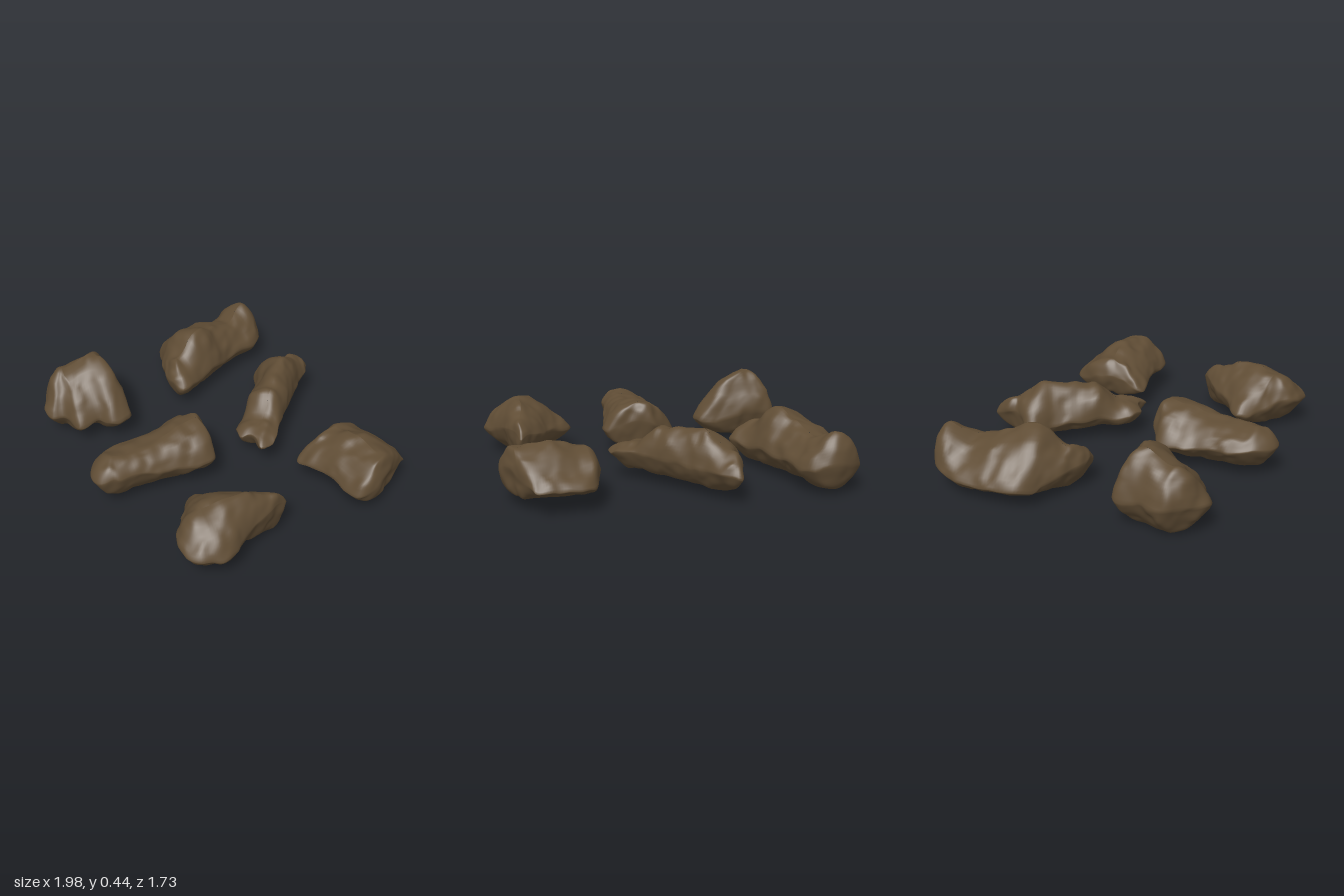
import * as THREE from 'three';
import { mergeVertices } from 'three/addons/utils/BufferGeometryUtils.js';

// Smooth lattice noise, -1 to 1
function hash(x, y, z) {
  const s = Math.sin(x * 127.1 + y * 311.7 + z * 74.7) * 43758.5453;
  return (s - Math.floor(s)) * 2 - 1;
}
function noise(x, y, z) {
  const cell = [x, y, z].map(Math.floor);
  const f = [x - cell[0], y - cell[1], z - cell[2]].map((t) => t * t * (3 - 2 * t));
  let sum = 0;
  for (let k = 0; k < 8; k++) {
    const d = [k & 1, (k >> 1) & 1, k >> 2];
    const w = d.reduce((p, on, j) => p * (on ? f[j] : 1 - f[j]), 1);
    sum += w * hash(cell[0] + d[0], cell[1] + d[1], cell[2] + d[2]);
  }
  return sum;
}

// Crest point closest in plan to p; the crest is straight in plan from a to b,
// with its heights spread along it
function nearestOnCrest(a, b, heights, p) {
  const dx = b[0] - a[0], dz = b[1] - a[1];
  const t = THREE.MathUtils.clamp(((p.x - a[0]) * dx + (p.z - a[1]) * dz) / (dx * dx + dz * dz), 0, 1);
  const s = t * (heights.length - 1);
  const k = Math.min(Math.floor(s), heights.length - 2);
  const y = THREE.MathUtils.lerp(heights[k], heights[k + 1], THREE.MathUtils.smoothstep(s - k, 0, 1));
  return new THREE.Vector3(a[0] + dx * t, y, a[1] + dz * t);
}

// Loft from the underside (base) out to the plan outline and up to the crest
function rockGeometry({ outline, from, to, heights, edge, base, round }) {
  const COLS = 120, HALF = 14;
  const curve = new THREE.CatmullRomCurve3(outline.map(([x, z]) => new THREE.Vector3(x, 0, z)), true);
  const rim = curve.getSpacedPoints(COLS).slice(0, COLS);
  const tops = rim.map((p) => nearestOnCrest(from, to, heights, p));
  // The rim rises where the crest comes close to it
  rim.forEach((p, i) => {
    const d = Math.hypot(p.x - tops[i].x, p.z - tops[i].z);
    p.y = edge + 0.1 * Math.max(0, 1 - d / 0.25);
  });
  const pos = [], index = [];
  for (let r = 0; r <= 2 * HALF; r++) {
    const upper = r >= HALF;
    const t = Math.pow(Math.abs(r - HALF) / HALF, 1.4);
    const rise = Math.pow(1 - Math.pow(1 - t, upper ? round : 2.2), 0.85);
    for (let i = 0; i < COLS; i++) {
      const p = rim[i], q = tops[i];
      const x = THREE.MathUtils.lerp(p.x, q.x, t);
      const z = THREE.MathUtils.lerp(p.z, q.z, t);
      const y = THREE.MathUtils.lerp(p.y, upper ? q.y : base, rise);
      // Weathered dents
      const bump = (o) => 0.018 * noise(x * 8 + o, y * 8, z * 8) + 0.009 * noise(x * 19, y * 19 + o, z * 19);
      pos.push(x + bump(3) * 0.7, y + bump(17), z + bump(41) * 0.7);
    }
  }
  for (let r = 0; r < 2 * HALF; r++) {
    for (let i = 0; i < COLS; i++) {
      const j = (i + 1) % COLS;
      const a = r * COLS + i, b = r * COLS + j, c = a + COLS, d = b + COLS;
      index.push(a, c, b, b, c, d);
    }
  }
  const geo = new THREE.BufferGeometry();
  geo.setAttribute('position', new THREE.Float32BufferAttribute(pos, 3));
  geo.setIndex(index);
  const merged = mergeVertices(geo, 1e-4);
  merged.computeVertexNormals();
  return merged;
}

export function createModel() {
  const group = new THREE.Group();
  group.name = 'rocks';
  const stone = new THREE.MeshStandardMaterial({ color: 0x604d35 });
  stone.name = 'brownStone';

  // Plan points are [x, z]
  const addRock = (name, shape) => {
    const mesh = new THREE.Mesh(rockGeometry(shape), stone);
    mesh.name = name;
    group.add(mesh);
  };

  // Back row
  addRock('backRightRock', {
    edge: 0.1, base: 0.02, round: 1.8,
    outline: [[-0.8, -0.86], [-0.68, -0.85], [-0.59, -0.77], [-0.57, -0.63], [-0.5, -0.3], [-0.45, -0.06],
      [-0.54, -0.04], [-0.75, -0.13], [-0.95, -0.25], [-0.99, -0.4], [-0.97, -0.65], [-0.91, -0.81]],
    from: [-0.76, -0.79], to: [-0.6, -0.14], heights: [0.34, 0.29, 0.33, 0.37, 0.27],
  });
  addRock('backMiddleRock', {
    edge: 0.11, base: 0.05, round: 2.1,
    outline: [[-0.2, -0.85], [-0.12, -0.79], [-0.05, -0.67], [0.1, -0.47], [0.23, -0.29], [0.31, -0.18],
      [0.31, -0.09], [0.21, -0.1], [0.15, -0.05], [0.08, -0.08], [-0.05, -0.25], [-0.22, -0.46],
      [-0.33, -0.54], [-0.24, -0.68], [-0.24, -0.77]],
    from: [-0.19, -0.7], to: [0.17, -0.2], heights: [0.28, 0.36, 0.35, 0.33, 0.21],
  });
  addRock('backLeftRock', {
    edge: 0.12, base: 0.06, round: 1.8,
    outline: [[0.48, -0.52], [0.54, -0.67], [0.7, -0.69], [0.87, -0.67], [0.92, -0.55], [0.98, -0.36],
      [0.97, -0.24], [0.8, -0.22], [0.65, -0.21], [0.49, -0.19], [0.48, -0.35]],
    from: [0.54, -0.43], to: [0.92, -0.43], heights: [0.29, 0.34, 0.32],
  });

  // Front row
  addRock('frontRightRock', {
    edge: 0.13, base: 0.01, round: 1.8,
    outline: [[-0.89, 0.28], [-0.8, 0.26], [-0.55, 0.29], [-0.42, 0.33], [-0.41, 0.46], [-0.5, 0.52],
      [-0.52, 0.63], [-0.64, 0.67], [-0.67, 0.73], [-0.77, 0.73], [-0.92, 0.57], [-0.9, 0.42]],
    from: [-0.75, 0.37], to: [-0.79, 0.56], heights: [0.44, 0.38],
  });
  addRock('frontMiddleRock', {
    edge: 0.14, base: 0.04, round: 2,
    outline: [[-0.02, 0.12], [0.1, 0.16], [0.24, 0.19], [0.18, 0.48], [0.12, 0.7], [0.06, 0.84], [-0.06, 0.84],
      [-0.15, 0.72], [-0.17, 0.45], [-0.19, 0.22], [-0.13, 0.17]],
    from: [0.05, 0.19], to: [0, 0.73], heights: [0.34, 0.3, 0.28],
  });
  addRock('frontLeftRock', {
    edge: 0.13, base: 0.03, round: 1.8,
    outline: [[0.77, 0.12], [0.8, 0.22], [0.86, 0.48], [0.9, 0.6], [0.82, 0.77], [0.7, 0.78], [0.52, 0.62],
      [0.39, 0.48], [0.55, 0.34], [0.73, 0.15]],
    from: [0.76, 0.2], to: [0.67, 0.62], heights: [0.27, 0.34, 0.33],
  });

  return group;
}
